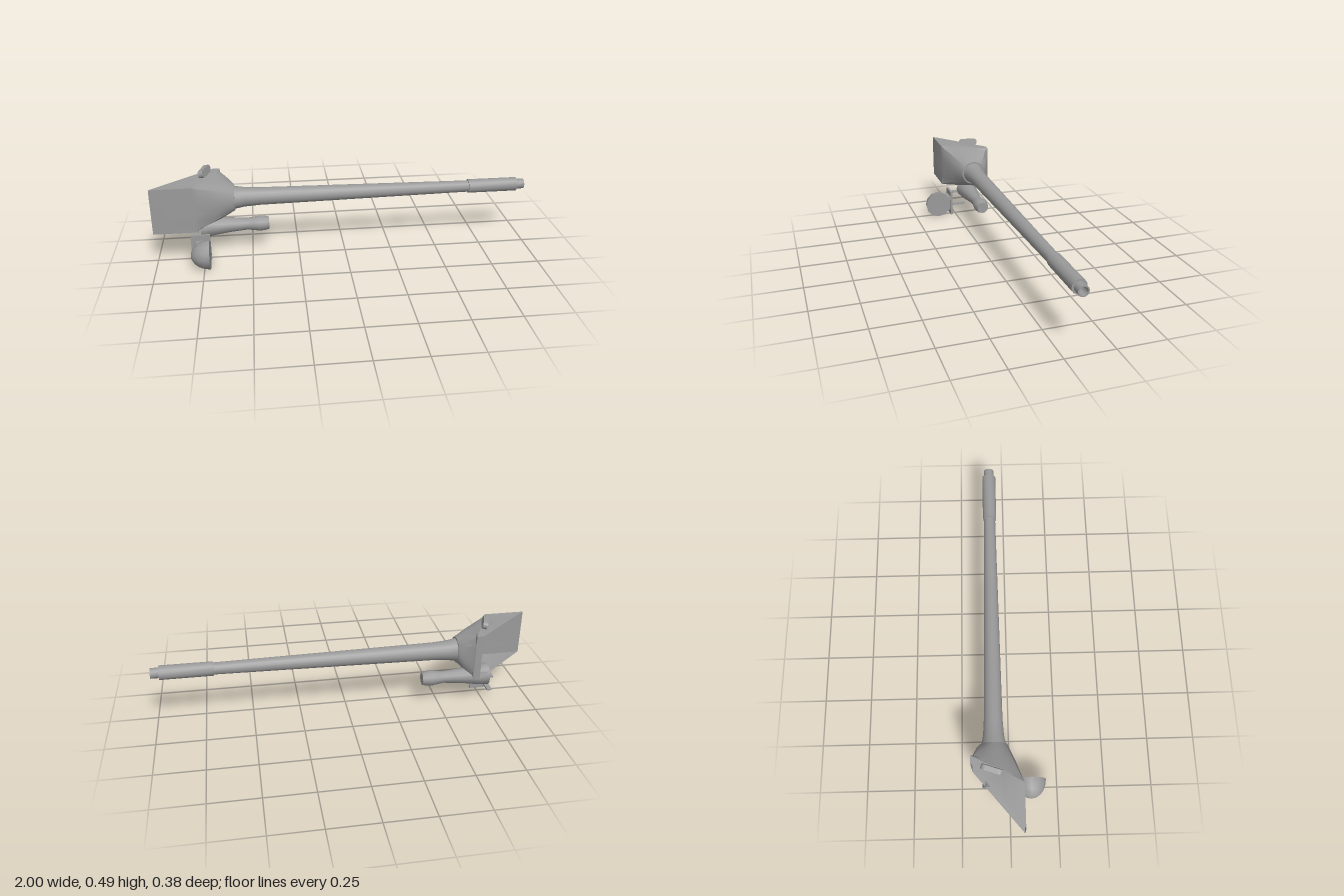
import * as THREE from 'three';
import { toCreasedNormals } from 'three/addons/utils/BufferGeometryUtils.js';

const steel = new THREE.MeshStandardMaterial({ color: 0x9a9a9a, side: THREE.DoubleSide });
steel.name = 'light grey steel';

function part(name, geometry, x = 0, y = 0, z = 0) {
  const mesh = new THREE.Mesh(geometry, steel);
  mesh.name = name;
  mesh.position.set(x, y, z);
  return mesh;
}

// Box given by its limits on each axis
function block(name, [x0, x1], [y0, y1], [z0, z1]) {
  return part(name, new THREE.BoxGeometry(x1 - x0, y1 - y0, z1 - z0),
    (x0 + x1) / 2, (y0 + y1) / 2, (z0 + z1) / 2);
}

// Turned part along x; profile is a list of [x, radius]
function turned(name, profile, sides, y, z) {
  const points = profile.map(([x, r]) => new THREE.Vector2(r, x));
  const geometry = new THREE.LatheGeometry(points, sides).rotateZ(-Math.PI / 2);
  return part(name, toCreasedNormals(geometry, 0.65), 0, y, z);
}

// Hollow housing, open at the back: slanted square sections blending into a round collar
function mantletGeometry() {
  const N = 24;
  // Slanted section; a high power gives a square, a lower one rounds the corners
  const slanted = (xFront, xBack, power, scale = 1) => (a) => {
    const c = Math.cos(a), s = Math.sin(a);
    const m = (Math.abs(c) ** power + Math.abs(s) ** power) ** (1 / power);
    const t = 0.5 - 0.5 * scale * c / m;
    return new THREE.Vector3(xFront + (xBack - xFront) * t,
      0.3125 + 0.1245 * scale * s / m, -0.059 + 0.129 * scale * c / m);
  };
  const ring = (r) => (a) =>
    new THREE.Vector3(-0.58, 0.313 + r * Math.sin(a), -0.076 + r * Math.cos(a));
  const shoulder = slanted(-0.765, -0.645, 9, 0.95);
  const collar = ring(0.069);
  const flare = (a) => slanted(-0.765, -0.645, 5, 0.95)(a).lerp(collar(a), 0.5)
    .add(new THREE.Vector3(0.012, 0, 0));
  const rows = [
    slanted(-1, -0.69, 200), slanted(-0.785, -0.655, 200),
    shoulder, flare, collar, ring(0.055),
  ];
  const positions = [], index = [];
  rows.forEach((row, i) => {
    for (let j = 0; j < N; j++) {
      positions.push(...row(j / N * Math.PI * 2).toArray());
      if (i === rows.length - 1) continue;
      const a = i * N + j, b = i * N + (j + 1) % N;
      index.push(a, a + N, b, b, a + N, b + N);
    }
  });
  const geometry = new THREE.BufferGeometry();
  geometry.setAttribute('position', new THREE.Float32BufferAttribute(positions, 3));
  geometry.setIndex(index);
  return toCreasedNormals(geometry, 0.45);
}

// Flat capsule lying along z, rounded at both ends
function sightGeometry(length, height, depth) {
  const r = height / 2, h = length / 2 - r;
  const shape = new THREE.Shape();
  shape.absarc(h, 0, r, -Math.PI / 2, Math.PI / 2);
  shape.absarc(-h, 0, r, Math.PI / 2, Math.PI * 1.5);
  return new THREE.ExtrudeGeometry(shape, { depth, bevelEnabled: false, curveSegments: 4 })
    .translate(0, 0, -depth / 2).rotateY(Math.PI / 2);
}

export function createModel() {
  const model = new THREE.Group();
  model.name = 'gunMount';

  model.add(part('mantlet', mantletGeometry()));

  // Main barrel with muzzle sleeve and recessed bore
  model.add(turned('barrel', [
    [-0.58, 0], [-0.58, 0.061], [-0.53, 0.052], [-0.45, 0.047], [0.687, 0.031],
    [0.687, 0.037], [0.957, 0.037], [0.957, 0.027], [1, 0.027], [1, 0.021],
    [0.94, 0.021], [0.94, 0],
  ], 16, 0.313, -0.076));

  // Secondary gun below the mantlet
  model.add(turned('secondaryGun', [
    [-0.768, 0], [-0.768, 0.06], [-0.72, 0.056], [-0.62, 0.041], [-0.525, 0.032],
    [-0.49, 0.036], [-0.455, 0.042], [-0.425, 0.039], [-0.405, 0.033], [-0.405, 0],
  ], 12, 0.152, -0.079));

  // Sight on the roof
  const sight = part('roofSight', sightGeometry(0.11, 0.04, 0.025), -0.728, 0.464, -0.085);
  sight.rotation.set(0.04, -0.32, 0.25);
  model.add(sight);

  // Searchlight: dome, flat lens side towards the muzzle, on a bracket
  const lamp = new THREE.Group();
  lamp.name = 'searchlight';
  const dome = [[-0.817, 0]];
  for (let i = 1; i <= 5; i++) {
    const a = i / 5 * Math.PI / 2;
    dome.push([-0.717 - 0.1 * Math.cos(a), 0.0775 * Math.sin(a)]);
  }
  dome.push([-0.717, 0]);
  lamp.add(turned('lampDome', dome, 12, 0.0785, 0.1125));
  lamp.add(block('lampNeck', [-0.79, -0.722], [0.035, 0.121], [0.03, 0.065]));
  lamp.add(block('bracketPlate', [-0.818, -0.717], [0.004, 0.152], [0.022, 0.034]));
  for (const y of [0.04, 0.122]) {
    lamp.add(block('bracketArm', [-0.81, -0.783], [y, y + 0.008], [-0.078, 0.022]));
  }
  model.add(lamp);

  return model;
}
